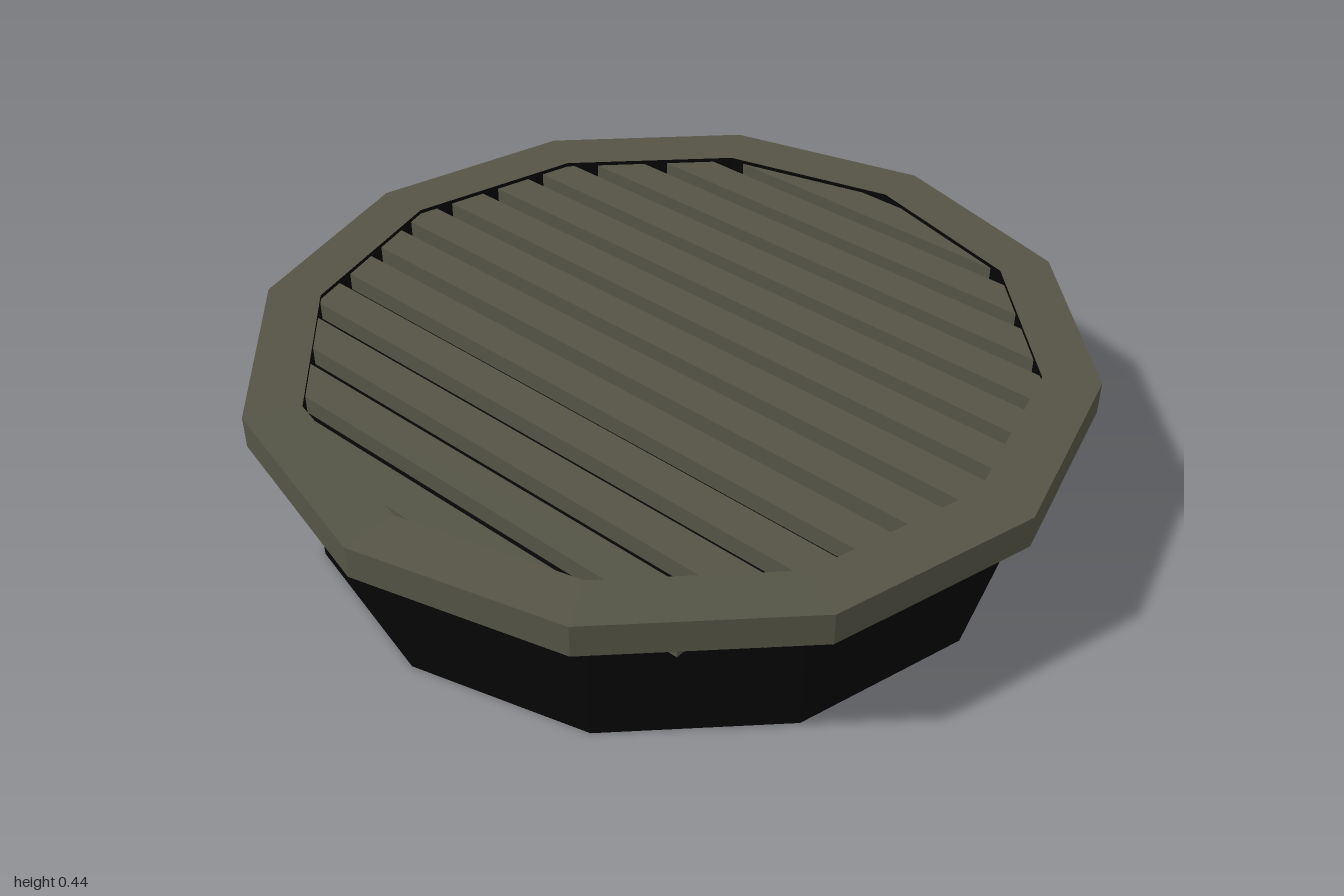
import * as THREE from 'three';

const SIDES = 12;
const INNER = 0.866;

export function createModel() {
  const olive = new THREE.MeshStandardMaterial({ color: 0x555446, side: THREE.DoubleSide, flatShading: true });
  olive.name = 'olive metal';
  const black = new THREE.MeshStandardMaterial({ color: 0x050505, side: THREE.DoubleSide, flatShading: true });
  black.name = 'black duct';

  const model = new THREE.Group();
  model.name = 'ventGrate';
  const add = (name, geometry, material, y, parent = model) => {
    const mesh = new THREE.Mesh(geometry, material);
    mesh.name = name;
    mesh.position.y = y;
    parent.add(mesh);
    return mesh;
  };

  // Twelve-sided rim, hollow underneath: flat top and outer skirt
  const rim = new THREE.Group();
  rim.name = 'rim';
  model.add(rim);
  const top = new THREE.RingGeometry(INNER, 1, SIDES, 1);
  top.rotateX(-Math.PI / 2);
  add('rimTop', top, olive, 0.44, rim);
  add('rimSkirt', new THREE.CylinderGeometry(1, 1, 0.08, SIDES, 1, true), olive, 0.4, rim);

  // Open duct reaching up to the inner edge of the rim
  add('duct', new THREE.CylinderGeometry(INNER, INNER, 0.44, SIDES, 1, true), black, 0.22);

  // Dark backing plate between the slats
  const backing = new THREE.CircleGeometry(INNER, SIDES);
  backing.rotateX(-Math.PI / 2);
  add('backing', backing, black, 0.385);

  // Parallel slats, each as long as the circle allows
  const slats = new THREE.Group();
  slats.name = 'slats';
  model.add(slats);
  for (let k = -6; k <= 6; k++) {
    const z = k * 0.134;
    const length = 2 * Math.sqrt(0.93 ** 2 - z * z);
    add('slat', new THREE.BoxGeometry(length, 0.09, 0.09), olive, 0.385, slats).position.z = z;
  }
  return model;
}
